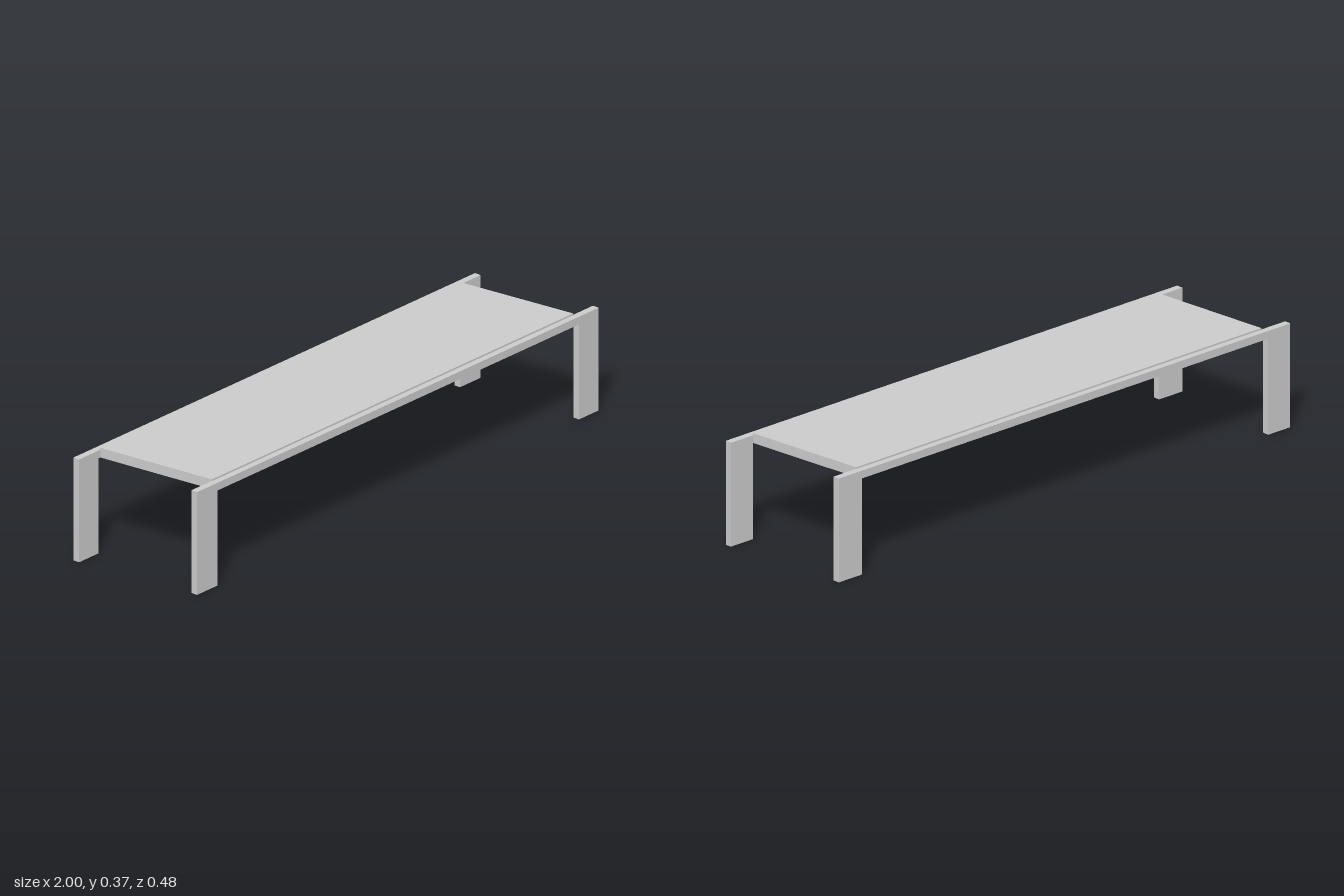
import * as THREE from 'three';

const material = new THREE.MeshStandardMaterial({ color: 0xcccccc, flatShading: true });

// Closed outline extruded by a depth
function extrude(name, points, depth) {
  const shape = new THREE.Shape(points.map(([a, b]) => new THREE.Vector2(a, b)));
  const geometry = new THREE.ExtrudeGeometry(shape, { depth, bevelEnabled: false });
  const mesh = new THREE.Mesh(geometry, material);
  mesh.name = name;
  return mesh;
}

export function createModel() {
  const group = new THREE.Group();
  group.name = 'longTable';

  // Side frames: two flat legs joined by a thin rail, each offset along x
  const height = 0.359, railBottom = 0.332;
  const frameOutline = [
    [-0.945, 0], [-0.845, 0], [-0.845, railBottom], [0.905, railBottom],
    [0.905, 0], [1, 0], [1, height], [-0.945, height],
  ];
  for (const [name, turn] of [['frontFrame', 0], ['backFrame', Math.PI]]) {
    const pivot = new THREE.Group();
    pivot.name = name;
    const frame = extrude(name + 'Legs', frameOutline, 0.024);
    frame.position.z = 0.215;
    pivot.add(frame);
    pivot.rotation.y = turn;
    group.add(pivot);
  }

  // Skewed top panel held between the frames, standing slightly proud
  const top = extrude('tableTop', [
    [-0.848, -0.217], [0.902, -0.217], [0.85, 0.217], [-0.895, 0.217],
  ], 0.034);
  top.rotation.x = -Math.PI / 2;
  top.position.y = 0.331;
  group.add(top);

  return group;
}
